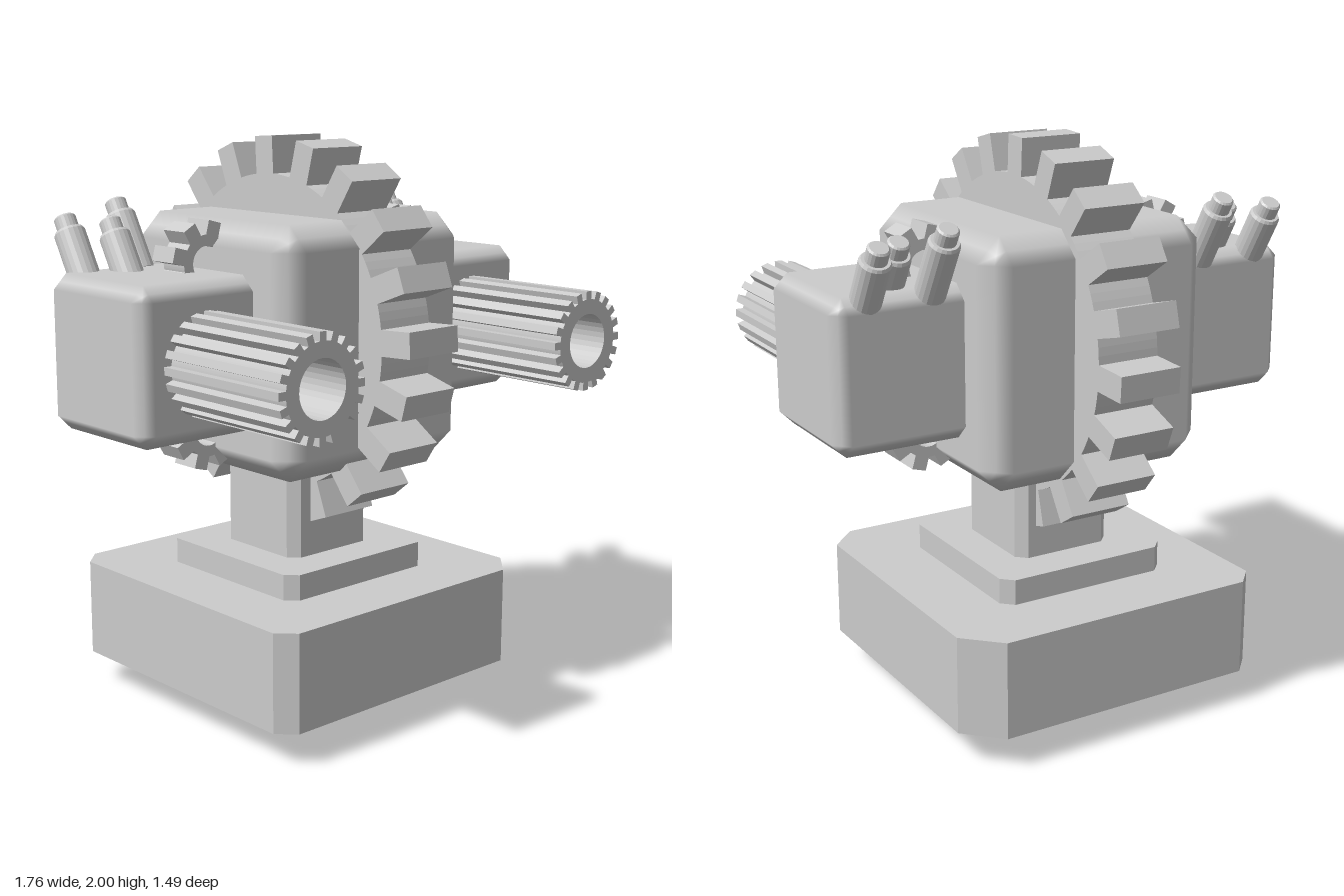
import * as THREE from 'three';

const material = new THREE.MeshStandardMaterial({ color: 0xcccccc });

function add(parent, name, geometry, x = 0, y = 0, z = 0) {
  const mesh = new THREE.Mesh(geometry, material);
  mesh.name = name;
  mesh.position.set(x, y, z);
  parent.add(mesh);
  return mesh;
}

// Square cross-section with chamfered corners: (+x+z), (+x-z), (-x-z), (-x+z)
function ring(x, z, y, c) {
  const p = [
    [x - c[0], z], [x, z - c[0]], [x, -z + c[1]], [x - c[1], -z],
    [-x + c[2], -z], [-x, -z + c[2]], [-x, z - c[3]], [-x + c[3], z],
  ];
  return p.map(([px, pz]) => new THREE.Vector3(px, y, pz));
}

// Solid through a stack of cross-sections, capped at both ends
function loft(rings) {
  const pts = [];
  const n = rings[0].length;
  for (let r = 0; r < rings.length - 1; r++) {
    const a = rings[r], b = rings[r + 1];
    for (let i = 0; i < n; i++) {
      const j = (i + 1) % n;
      pts.push(a[i], a[j], b[j], a[i], b[j], b[i]);
    }
  }
  const low = rings[0], top = rings[rings.length - 1];
  for (let i = 1; i < n - 1; i++) {
    pts.push(low[0], low[i + 1], low[i], top[0], top[i], top[i + 1]);
  }
  const g = new THREE.BufferGeometry().setFromPoints(pts);
  g.computeVertexNormals();
  return g;
}

// Box with one-step chamfers and soft shading across them
function chamferBox(w, h, d, c) {
  const g = new THREE.BoxGeometry(1, 1, 1, 3, 3, 3);
  const pos = g.attributes.position, nor = g.attributes.normal;
  const half = [w / 2, h / 2, d / 2];
  for (let i = 0; i < pos.count; i++) {
    const v = [pos.getX(i), pos.getY(i), pos.getZ(i)];
    const outer = v.map((t) => Math.abs(t) > 0.4);
    const k = outer.filter(Boolean).length;
    const inset = c * (1 - 1 / k);
    pos.setXYZ(i, ...v.map((t, a) => Math.sign(t) * (half[a] - (outer[a] ? inset : c))));
    const nv = new THREE.Vector3(...v.map((t, a) => (outer[a] ? Math.sign(t) : 0))).normalize();
    nor.setXYZ(i, nv.x, nv.y, nv.z);
  }
  return g;
}

// Spur gear with parallel-sided teeth, centred along z
function gear(teeth, root, tip, halfTooth, depth, offset, hole = 0) {
  const shape = new THREE.Shape();
  const step = (Math.PI * 2) / teeth;
  const spread = Math.asin(halfTooth / root);
  const inner = Math.sqrt(root * root - halfTooth * halfTooth);
  const pts = [];
  for (let i = 0; i < teeth; i++) {
    const a = THREE.MathUtils.degToRad(offset) + i * step;
    const c = Math.cos(a), s = Math.sin(a);
    for (const [r, t] of [[inner, -1], [tip, -1], [tip, 1], [inner, 1]]) {
      pts.push(new THREE.Vector2(r * c - t * halfTooth * s, r * s + t * halfTooth * c));
    }
    for (const f of [0.33, 0.67]) {
      const b = a + spread + (step - 2 * spread) * f;
      pts.push(new THREE.Vector2(root * Math.cos(b), root * Math.sin(b)));
    }
  }
  shape.setFromPoints(pts);
  if (hole) shape.holes.push(new THREE.Path().absarc(0, 0, hole, 0, Math.PI * 2, true));
  const g = new THREE.ExtrudeGeometry(shape, { depth, bevelEnabled: false, curveSegments: 16 });
  return g.translate(0, 0, -depth / 2);
}

export function createModel() {
  const group = new THREE.Group();
  const same = (c) => [c, c, c, c];

  // Base with unequal corner chamfers and a tapered underside
  const corners = [0.1, 0.12, 0.07, 0.06];
  add(group, 'base', loft([
    ring(0.32, 0.33, 0, same(0)),
    ring(0.573, 0.573, 0.12, corners),
    ring(0.573, 0.573, 0.465, corners),
  ]), 0, 0, -0.05);
  add(group, 'plinth', loft([
    ring(0.327, 0.332, 0.45, same(0.04)),
    ring(0.327, 0.332, 0.555, same(0.04)),
  ]), -0.008, 0, -0.048);
  add(group, 'neck', loft([
    ring(0.186, 0.188, 0.54, same(0.035)),
    ring(0.186, 0.188, 1.0, same(0.035)),
  ]), -0.01, 0, -0.048);

  // Main body with the large gear wheel running through it
  add(group, 'body', chamferBox(0.855, 0.85, 0.85, 0.085), -0.002, 1.315, -0.05);
  const wheel = gear(20, 0.55, 0.677, 0.044, 0.226, 87).rotateY(Math.PI / 2);
  add(group, 'mainGear', wheel, -0.002, 1.325, -0.066);

  // Piston profile: sleeve with a thinner rod on top, origin at the tip
  const profile = [
    [0, -0.27], [0.053, -0.27], [0.053, -0.06], [0.047, -0.05],
    [0.037, -0.05], [0.037, -0.006], [0.031, 0], [0, 0],
  ].map(([r, y]) => new THREE.Vector2(r, y));
  const pistons = [[0.527, 1.785, -0.405], [0.637, 1.735, -0.285], [0.752, 1.745, -0.38]];

  for (const s of [1, -1]) {
    const side = new THREE.Group();
    side.name = s > 0 ? 'leftArm' : 'rightArm';
    group.add(side);
    add(side, 'armBox', chamferBox(0.52, 0.52, 0.52, 0.05), s * 0.62, 1.315, -0.052);
    add(side, 'toothedBarrel', gear(20, 0.145, 0.173, 0.013, 0.57, 90, 0.094), s * 0.62, 1.31, 0.462);

    // Small gears above and below the joint
    for (const [name, y, angle] of [['upperJointGear', 1.6, 105], ['lowerJointGear', 1.04, 151]]) {
      const g = gear(8, 0.095, 0.14, 0.026, 0.11, s > 0 ? angle : 180 - angle, 0.058);
      add(side, name, g, s * 0.455, y, -0.05);
    }

    // Pistons leaning backwards
    for (const [x, y, z] of pistons) {
      const g = new THREE.LatheGeometry(profile, 20).toNonIndexed();
      g.computeVertexNormals();
      add(side, 'piston', g, s * x, y, z).rotation.x = -Math.PI / 6;
    }
  }
  return group;
}
